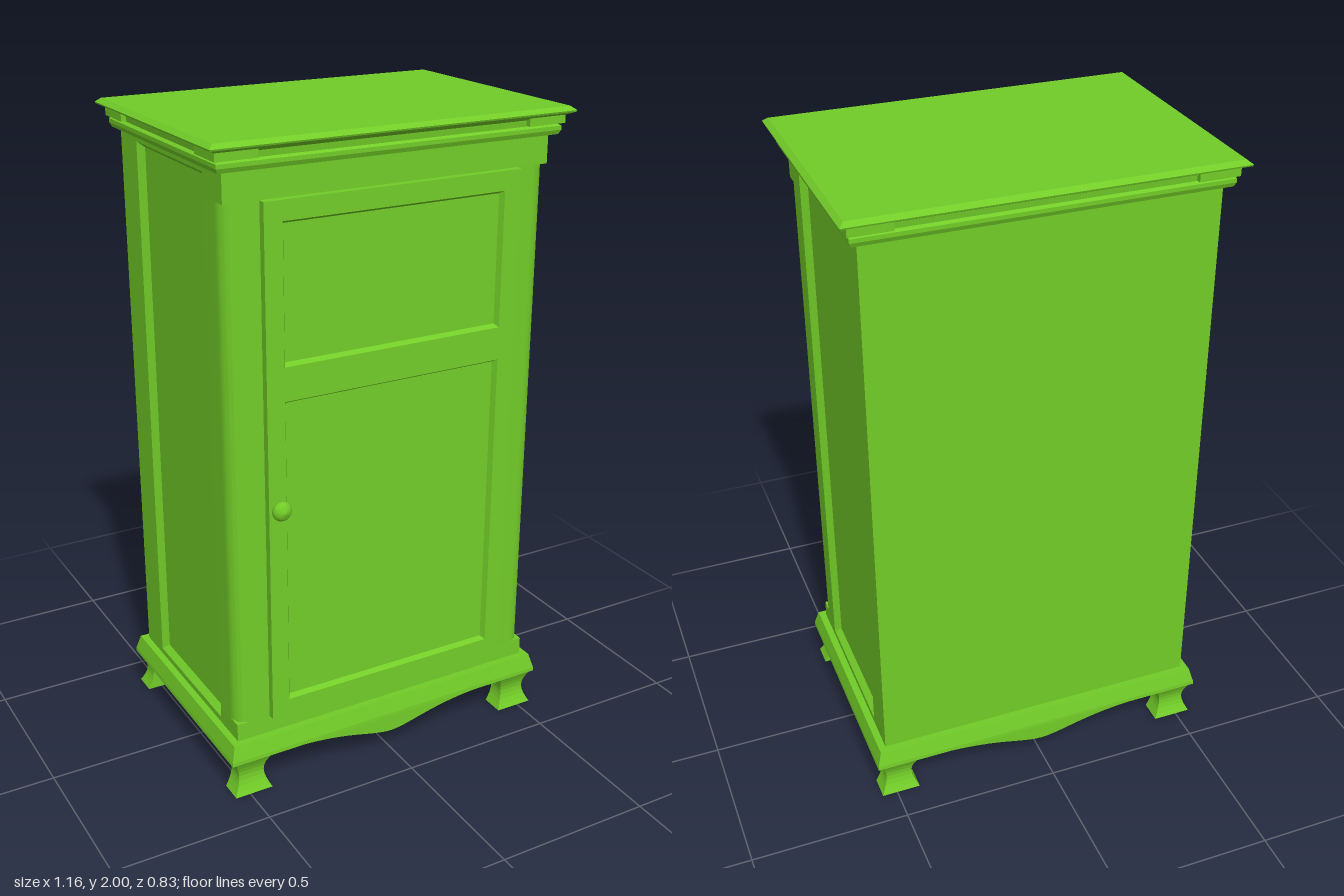
import * as THREE from 'three';
import { toCreasedNormals } from 'three/addons/utils/BufferGeometryUtils.js';

// Body extents; mouldings are measured as offsets from these
const HX = 0.522, BACK = -0.361, FRONT = 0.338;

// Stack of rectangles [x0, x1, z0, z1, y] joined into a faceted solid
function loft(rings, bottomCap = true) {
  const pos = [];
  const corners = rings.map(([x0, x1, z0, z1, y]) =>
    [[x0, y, z1], [x1, y, z1], [x1, y, z0], [x0, y, z0]]);
  const quad = (a, b, c, d) => pos.push(...a, ...b, ...c, ...a, ...c, ...d);
  for (let r = 0; r < corners.length - 1; r++) {
    for (let i = 0; i < 4; i++) {
      const j = (i + 1) % 4;
      quad(corners[r][i], corners[r][j], corners[r + 1][j], corners[r + 1][i]);
    }
  }
  quad(...corners[corners.length - 1]);
  if (bottomCap) quad(...[...corners[0]].reverse());
  const geo = new THREE.BufferGeometry();
  geo.setAttribute('position', new THREE.Float32BufferAttribute(pos, 3));
  geo.computeVertexNormals();
  return geo;
}

// Moulding that runs around the body, from [offset, y] pairs
const moulding = (profile) =>
  loft(profile.map(([o, y]) => [-HX - o, HX + o, BACK - o, FRONT + o, y]));

// Sunken panel with sloping edges, facing +y
const recess = (w, d, bevel, depth) => loft([
  [-w / 2, w / 2, -d / 2, d / 2, 0],
  [-w / 2 + bevel, w / 2 - bevel, -d / 2 + bevel, d / 2 - bevel, -depth],
], false);

const box = (x0, x1, y0, y1, z0, z1) => loft([[x0, x1, z0, z1, y0], [x0, x1, z0, z1, y1]]);

const rectPath = (path, x0, x1, y0, y1) =>
  path.moveTo(x0, y0).lineTo(x1, y0).lineTo(x1, y1).lineTo(x0, y1).closePath();

export function createModel() {
  const model = new THREE.Group();
  model.name = 'cabinet';
  const material = new THREE.MeshStandardMaterial({ color: 0x72cc28 });
  const add = (name, geo) => {
    const mesh = new THREE.Mesh(geo, material);
    mesh.name = name;
    model.add(mesh);
    return mesh;
  };

  // Carcass: core set in at the sides, framed by stiles and rails
  const bottom = 0.175, top = 1.925;
  const pz0 = -0.242, pz1 = 0.22, py0 = 0.197, py1 = 1.895;
  add('core', box(-0.498, 0.498, bottom, top, BACK + 0.02, 0.3));
  add('backFrame', box(-HX, HX, bottom, top, BACK, pz0));
  add('lowerSideRail', box(-HX, HX, bottom, py0, pz0, pz1));
  add('upperSideRail', box(-HX, HX, py1, top, pz0, pz1));
  add('frontLowerRail', box(-HX, HX, bottom, 0.235, pz1, FRONT));
  add('frontUpperRail', box(-HX, HX, 1.83, top, pz1, FRONT));

  // Front frame with rounded corners that stop short of the rails
  const r = 0.048;
  const section = new THREE.Shape();
  section.moveTo(-HX, -pz1);
  section.lineTo(-HX, -FRONT + r);
  section.absarc(-HX + r, -FRONT + r, r, Math.PI, Math.PI * 1.5);
  section.absarc(HX - r, -FRONT + r, r, Math.PI * 1.5, Math.PI * 2);
  section.lineTo(HX, -pz1);
  section.closePath();
  const frame = new THREE.ExtrudeGeometry(section,
    { depth: 1.595, bevelEnabled: false, curveSegments: 10 });
  frame.rotateX(-Math.PI / 2).translate(0, 0.235, 0);
  add('frontFrame', toCreasedNormals(frame, 0.6));

  // Side panels
  for (const side of [-1, 1]) {
    const panel = recess(py1 - py0, pz1 - pz0, 0.016, 0.02);
    panel.rotateZ(-side * Math.PI / 2);
    panel.translate(side * HX, (py0 + py1) / 2, (pz0 + pz1) / 2);
    add(side > 0 ? 'leftSidePanel' : 'rightSidePanel', panel);
  }

  // Door with two sunken panels
  const doorFace = 0.362;
  const door = rectPath(new THREE.Shape(), -0.414, 0.417, 0.235, 1.83);
  const openings = [['upperDoorPanel', 1.36, 1.772], ['lowerDoorPanel', 0.29, 1.258]];
  for (const [name, y0, y1] of openings) {
    door.holes.push(rectPath(new THREE.Path(), -0.358, 0.36, y0, y1));
    const panel = recess(0.718, y1 - y0, 0.009, 0.016);
    panel.rotateX(Math.PI / 2).translate(0.001, (y0 + y1) / 2, doorFace);
    add(name, panel);
  }
  const doorGeo = new THREE.ExtrudeGeometry(door, { depth: 0.03, bevelEnabled: false });
  add('door', doorGeo.translate(0, 0, doorFace - 0.03));

  // Door knob
  const knobProfile = [[0.013, 0], [0.011, 0.014], [0.022, 0.016], [0.029, 0.022],
    [0.03, 0.03], [0.026, 0.038], [0.018, 0.045], [0, 0.05]]
    .map(([x, y]) => new THREE.Vector2(x, y));
  const knob = new THREE.LatheGeometry(knobProfile, 20);
  knob.rotateX(Math.PI / 2).translate(-0.387, 0.94, doorFace);
  add('knob', knob);

  // Cornice and its corner blocks
  add('cornice', moulding([[0, 1.915], [0.02, 1.917], [0.026, 1.93], [0.026, 1.942],
    [0.016, 1.948], [0.018, 1.966], [0.036, 1.975], [0.054, 1.983], [0.056, 1.988], [0.041, 2]]));
  const o = 0.033, len = 0.125;
  for (const sx of [-1, 1]) {
    for (const sz of [-1, 1]) {
      const x = sx > 0 ? HX + o - len : -HX - o;
      const z = sz > 0 ? FRONT + o - len : BACK - o;
      add('corniceBlock', box(x, x + len, 1.95, 1.975, z, z + len));
    }
  }

  // Base moulding
  add('base', moulding([[0.036, 0.118], [0.035, 0.13], [0.022, 0.178]]));

  // Scalloped aprons under the front and back
  const apron = new THREE.Shape();
  apron.moveTo(-0.36, 0.12);
  apron.bezierCurveTo(-0.15, 0.115, -0.08, 0.068, 0, 0.066);
  apron.bezierCurveTo(0.08, 0.068, 0.15, 0.115, 0.36, 0.12);
  apron.closePath();
  for (const [name, z] of [['frontApron', FRONT + 0.008], ['backApron', BACK - 0.036]]) {
    const geo = new THREE.ExtrudeGeometry(apron,
      { depth: 0.028, bevelEnabled: false, curveSegments: 12 });
    add(name, geo.translate(0, 0, z));
  }

  // Waisted feet
  for (const sx of [-1, 1]) {
    for (const sz of [-1, 1]) {
      const rings = [];
      for (let i = 0; i <= 8; i++) {
        const pinch = 0.02 * Math.sin(Math.PI * i / 8);
        const xs = [sx * (0.424 + pinch), sx * (0.548 - pinch)].sort((a, b) => a - b);
        const zs = [-0.012 + sz * 0.309, -0.012 + sz * (0.383 - pinch)].sort((a, b) => a - b);
        rings.push([...xs, ...zs, 0.12 * i / 8]);
      }
      add(sz > 0 ? 'frontFoot' : 'backFoot', loft(rings));
    }
  }

  return model;
}
